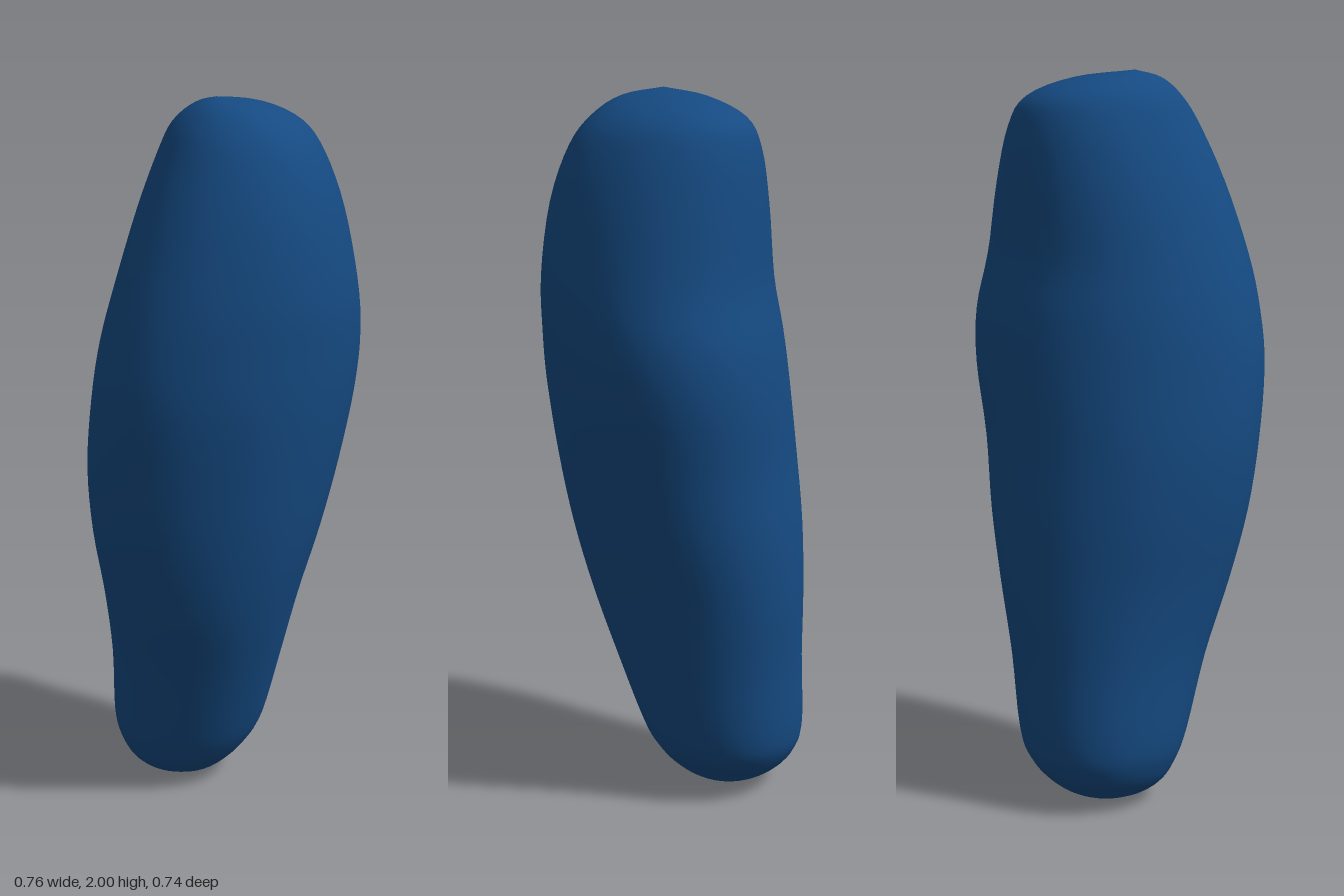
import * as THREE from 'three';
import { mergeVertices } from 'three/addons/utils/BufferGeometryUtils.js';

// cross-sections from bottom to top: y, xMin, xMax, zMin, zMax, skew
const SECTIONS = [
  [0, -0.13, -0.13, -0.1, -0.1, 0],
  [0.02, -0.22, -0.04, -0.2, -0.01, 0],
  [0.06, -0.28, 0.02, -0.27, 0.05, 0],
  [0.12, -0.315, 0.075, -0.32, 0.09, 0],
  [0.2, -0.33, 0.115, -0.342, 0.125, 0],
  [0.4, -0.33, 0.165, -0.35, 0.195, 0],
  [0.6, -0.345, 0.215, -0.365, 0.27, -0.04],
  [0.8, -0.37, 0.275, -0.368, 0.32, -0.1],
  [1.0, -0.378, 0.325, -0.36, 0.35, -0.15],
  [1.2, -0.36, 0.365, -0.365, 0.372, -0.2],
  [1.35, -0.335, 0.377, -0.355, 0.37, -0.2],
  [1.5, -0.295, 0.365, -0.325, 0.355, -0.15],
  [1.7, -0.235, 0.325, -0.31, 0.31, -0.06],
  [1.85, -0.18, 0.27, -0.29, 0.25, 0],
  [1.93, -0.14, 0.21, -0.245, 0.195, 0],
  [1.98, -0.08, 0.11, -0.12, 0.13, 0],
  [2, -0.02, -0.02, 0.04, 0.04, 0],
];

// smooth curve through three columns of the section list
const curveOf = (a, b, c) => new THREE.CatmullRomCurve3(
  SECTIONS.map((s) => new THREE.Vector3(s[a], s[b], s[c])), false, 'catmullrom', 0.5);

// slightly squared sine and cosine
const squared = (v) => Math.sign(v) * Math.abs(v) ** 0.94;

function bodyGeometry(rows = 64, sides = 40) {
  const low = curveOf(1, 0, 3), high = curveOf(2, 0, 4), skews = curveOf(5, 0, 0);
  const positions = [], indices = [];
  for (let r = 0; r <= rows; r++) {
    const a = low.getPoint(r / rows), b = high.getPoint(r / rows);
    const skew = skews.getPoint(r / rows).x;
    for (let i = 0; i < sides; i++) {
      const t = (i / sides) * Math.PI * 2;
      positions.push(
        (a.x + b.x) / 2 + ((b.x - a.x) / 2) * squared(Math.cos(t)),
        a.y,
        (a.z + b.z) / 2 + ((b.z - a.z) / 2) * squared(Math.sin(t + skew)));
      if (r === rows) continue;
      const p = r * sides + i, q = r * sides + ((i + 1) % sides);
      if (r < rows - 1) indices.push(p, p + sides, q + sides);
      if (r > 0) indices.push(p, q + sides, q);
    }
  }
  const geometry = new THREE.BufferGeometry();
  geometry.setAttribute('position', new THREE.Float32BufferAttribute(positions, 3));
  geometry.setIndex(indices);
  const merged = mergeVertices(geometry, 1e-5); // joins each pole into one point
  merged.computeVertexNormals();
  return merged;
}

export function createModel() {
  const group = new THREE.Group();
  group.name = 'limbSegment';
  const body = new THREE.Mesh(bodyGeometry(), new THREE.MeshStandardMaterial({ color: 0x154a82 }));
  body.name = 'limbBody';
  group.add(body);
  return group;
}
